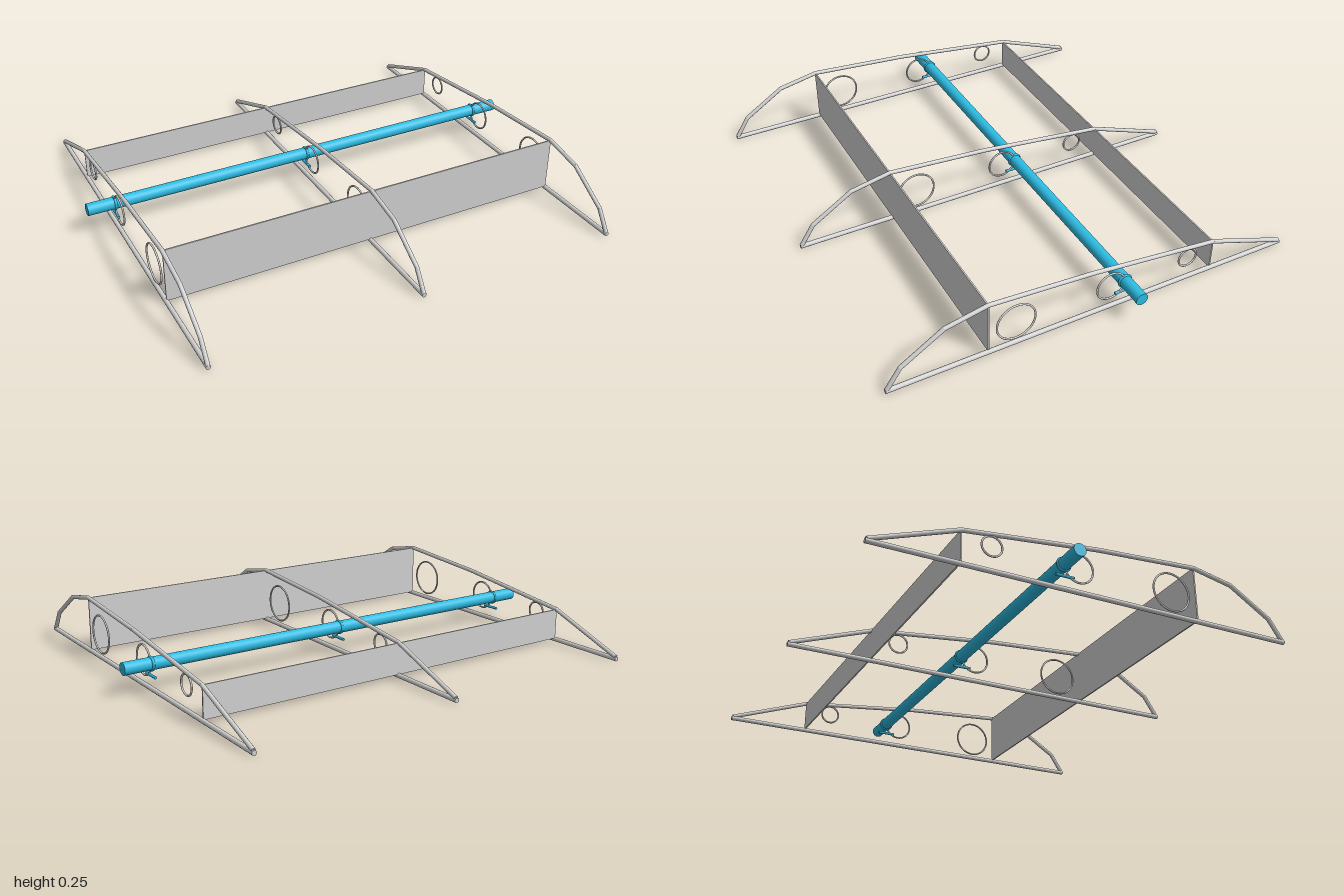
import * as THREE from 'three';

const frameGrey = new THREE.MeshStandardMaterial({ color: 0xd3d3d3 });
frameGrey.name = 'light grey';
const rodBlue = new THREE.MeshStandardMaterial({ color: 0x2dbde4 });
rodBlue.name = 'rod blue';

function add(parent, name, geometry, material, x = 0, y = 0, z = 0) {
  const mesh = new THREE.Mesh(geometry, material);
  mesh.name = name;
  mesh.position.set(x, y, z);
  parent.add(mesh);
  return mesh;
}

// Round bar between two [z, y] points in the rib plane
function bar(parent, name, a, b, radius, material) {
  const from = new THREE.Vector3(0, a[1], a[0]);
  const to = new THREE.Vector3(0, b[1], b[0]);
  const dir = to.clone().sub(from);
  const mesh = add(parent, name, new THREE.CylinderGeometry(radius, radius, dir.length(), 12), material);
  mesh.position.copy(from).add(to).multiplyScalar(0.5);
  mesh.quaternion.setFromUnitVectors(new THREE.Vector3(0, 1, 0), dir.normalize());
}

// Hoop facing sideways along x
function hoop(parent, name, z, y, radius, tube, material) {
  add(parent, name, new THREE.TorusGeometry(radius, tube, 10, 40), material, 0, y, z).rotation.y = Math.PI / 2;
}

function createRib() {
  const rib = new THREE.Group();
  rib.name = 'rib';
  // Upper outline from leading edge to trailing edge, as [z, y]
  const outline = [[0.877, 0.014], [0.82, 0.10], [0.645, 0.21], [0.47, 0.245],
    [0.03, 0.212], [-0.53, 0.146], [-0.877, 0.018]];
  for (let i = 0; i < outline.length - 1; i++) {
    bar(rib, 'upperEdge', outline[i], outline[i + 1], 0.009, frameGrey);
    if (i > 0) {
      add(rib, 'edgeJoint', new THREE.SphereGeometry(0.009, 12, 8), frameGrey, 0, outline[i][1], outline[i][0]);
    }
  }
  bar(rib, 'lowerEdge', [0.883, 0.01], [-0.883, 0.01], 0.01, frameGrey);

  // Lightening holes
  for (const [z, radius] of [[0.355, 0.081], [-0.055, 0.061], [-0.41, 0.041]]) {
    hoop(rib, 'holeRim', z, 0.111, radius, 0.004, frameGrey);
  }

  // Rod collar and small lever below it
  hoop(rib, 'rodCollar', -0.118, 0.112, 0.025, 0.006, rodBlue);
  bar(rib, 'rodLever', [-0.076, 0.064], [-0.154, 0.064], 0.006, rodBlue);
  return rib;
}

export function createModel() {
  const model = new THREE.Group();
  model.name = 'wingFrame';

  for (const x of [-0.882, 0, 0.882]) {
    const rib = createRib();
    rib.position.x = x;
    model.add(rib);
  }

  // Spanwise web plates
  for (const [name, z, top] of [['frontSpar', 0.47, 0.245], ['rearSpar', -0.53, 0.146]]) {
    const bottom = 0.014;
    add(model, name, new THREE.BoxGeometry(1.764, top - bottom, 0.006), frameGrey, 0, (top + bottom) / 2, z);
  }

  // Rod running across the whole span
  const rod = add(model, 'torqueRod', new THREE.CylinderGeometry(0.026, 0.026, 2, 32), rodBlue, 0, 0.112, -0.118);
  rod.rotation.z = Math.PI / 2;
  return model;
}
